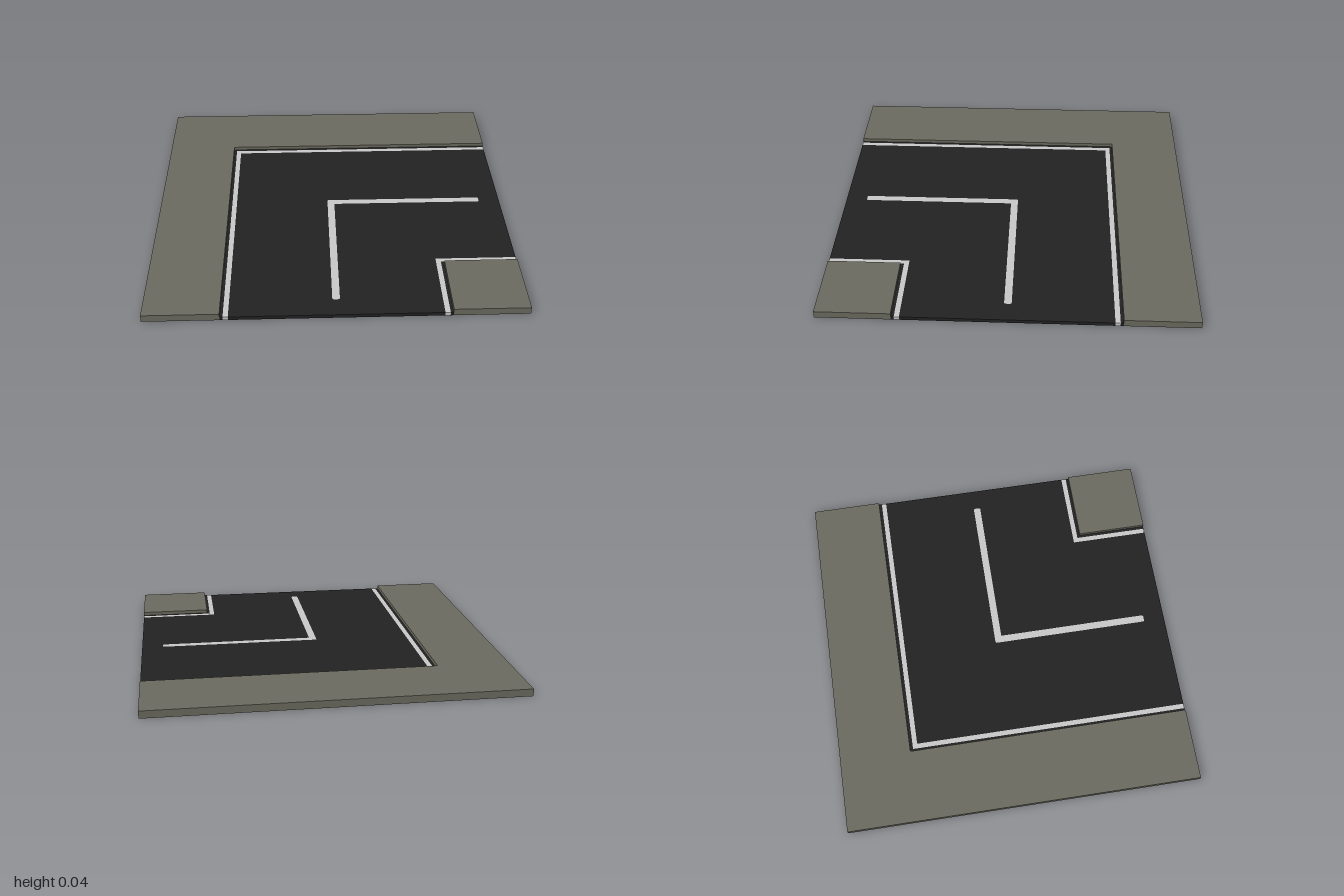
import * as THREE from 'three';

export function createModel() {
  const group = new THREE.Group();
  group.name = 'roadCorner';

  const material = (name, color) => {
    const m = new THREE.MeshStandardMaterial({ color });
    m.name = name;
    return m;
  };
  const pavement = material('pavement', 0x69695e);
  const asphalt = material('asphalt', 0x222222);
  const paint = material('paint', 0xc6c6c6);

  const ROAD = 0.02, KERB = 0.04;

  // Plan points are [x, z]; the shape's y is -z so it extrudes upwards
  const toVectors = (points) => points.map(([x, z]) => new THREE.Vector2(x, -z));

  function slab(name, points, height, mat, hole) {
    const shape = new THREE.Shape(toVectors(points));
    if (hole) shape.holes.push(new THREE.Path(toVectors(hole)));
    const geometry = new THREE.ExtrudeGeometry(shape, { depth: height, bevelEnabled: false });
    geometry.rotateX(-Math.PI / 2);
    const mesh = new THREE.Mesh(geometry, mat);
    mesh.name = name;
    group.add(mesh);
  }

  // L-shaped band between two corner offsets, running to the right and front edges
  const band = (a, b, end = 1) => [[a, a], [end, a], [end, b], [b, b], [b, end], [a, end]];

  // Centre marking with slightly clipped corners
  const w = 0.02, e = 0.88, c = 0.006;
  const centre = [
    [-w + c, -w], [e - c, -w], [e, -w + c], [e, w - c], [e - c, w], [w, w],
    [w, e - c], [w - c, e], [-w + c, e], [-w, e - c], [-w, -w + c],
  ];

  // Raised pavements
  slab('outerPavement', band(-1, -0.6), KERB, pavement);
  slab('innerPavement', [[0.6, 0.6], [1, 0.6], [1, 1], [0.6, 1]], KERB, pavement);

  // Road surface and flush markings
  slab('outerGutter', band(-0.6, -0.584), ROAD, asphalt);
  slab('outerEdgeLine', band(-0.584, -0.557), ROAD, paint);
  slab('roadSurface', band(-0.557, 0.557), ROAD, asphalt, centre);
  slab('centreLine', centre, ROAD, paint);
  slab('innerEdgeLine', band(0.557, 0.584), ROAD, paint);
  slab('innerGutter', band(0.584, 0.6), ROAD, asphalt);

  return group;
}
